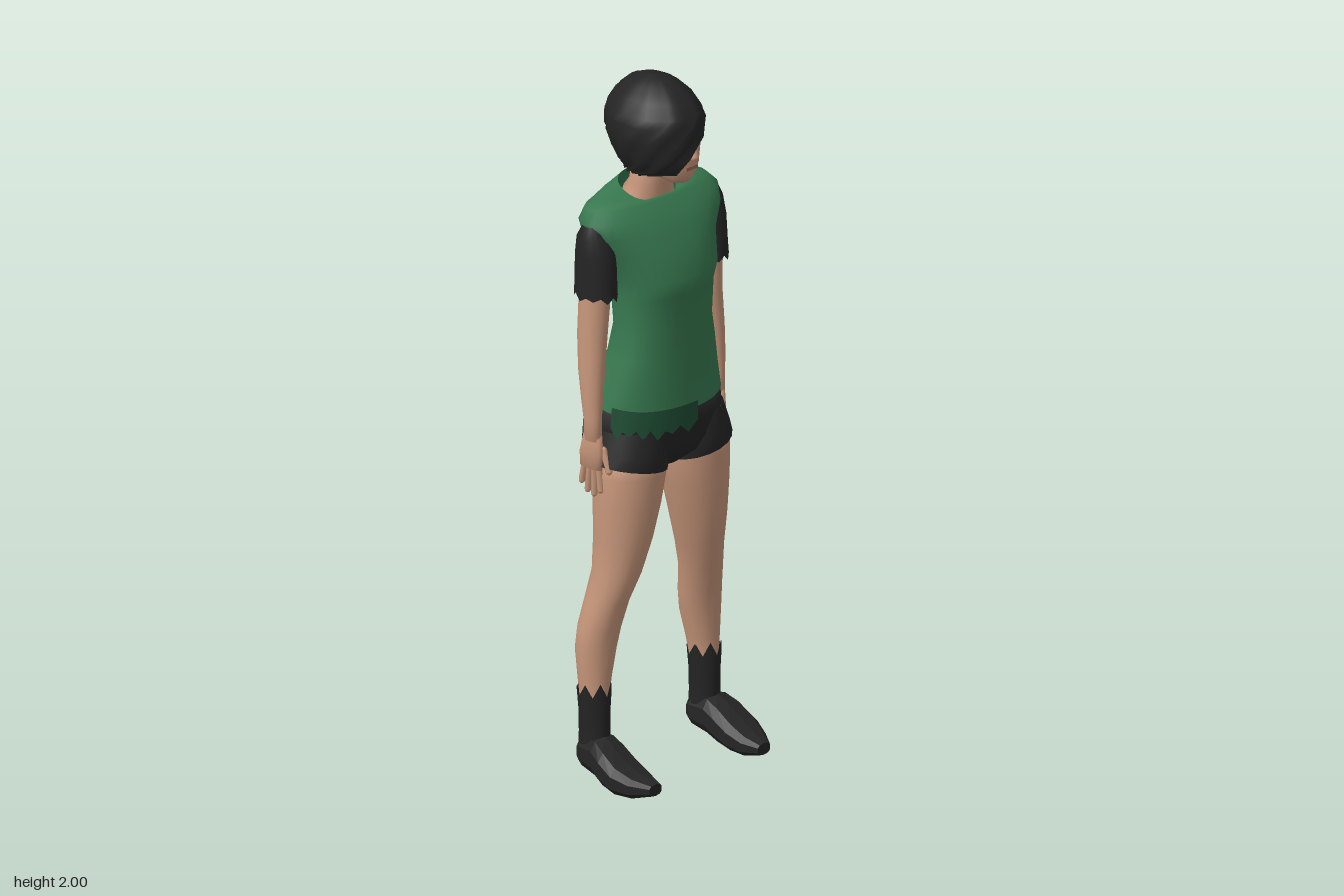
import * as THREE from 'three';

function makeMaterial(name, color, side = THREE.FrontSide) {
  const material = new THREE.MeshStandardMaterial({ color, side });
  material.name = name;
  return material;
}
const skin = makeMaterial('skin', 0xc8977b);
const green = makeMaterial('shirt green', 0x37784f, THREE.DoubleSide);
const darkGreen = makeMaterial('dark green', 0x1f4d34, THREE.DoubleSide);
const black = makeMaterial('black cloth', 0x242424, THREE.DoubleSide);
const lips = makeMaterial('lips', 0xa06a58);
const shoeBlack = makeMaterial('shoe black', 0x252525);
shoeBlack.flatShading = true;

const rad = THREE.MathUtils.degToRad;

// Skin a surface over a grid of points; rows run upward, columns counterclockwise.
function skinRows(rows, closed, caps) {
  const n = rows[0].length;
  const pos = rows.flat(2);
  const idx = [];
  const cols = closed ? n : n - 1;
  for (let i = 0; i < rows.length - 1; i++) {
    for (let j = 0; j < cols; j++) {
      const a = i * n + j;
      const b = i * n + (j + 1) % n;
      idx.push(a, b, b + n, a, b + n, a + n);
    }
  }
  if (caps) {
    for (const r of [0, rows.length - 1]) {
      const c = pos.length / 3;
      for (let k = 0; k < 3; k++) {
        let sum = 0;
        for (const p of rows[r]) sum += p[k];
        pos.push(sum / n);
      }
      for (let j = 0; j < n; j++) {
        const a = r * n + j;
        const b = r * n + (j + 1) % n;
        if (r > 0) idx.push(a, b, c);
        else idx.push(b, a, c);
      }
    }
  }
  const g = new THREE.BufferGeometry();
  g.setAttribute('position', new THREE.Float32BufferAttribute(pos, 3));
  g.setIndex(idx);
  g.computeVertexNormals();
  return g;
}

// One oval ring point; ring = [y, cx, cz, rx, rz, tiltZ, tiltX], angle 0 faces +z.
function ovalPoint(ring, angle, power) {
  const [y, cx, cz, rx, rz, tz = 0, tx = 0] = ring;
  const bulge = (v) => Math.sign(v) * Math.pow(Math.abs(v), 2 / power);
  const x = rx * bulge(Math.sin(angle));
  const z = rz * bulge(Math.cos(angle));
  return [cx + x, y + tz * z + tx * x, cz + z];
}

// Loft through oval rings; a negative jag frays the bottom edge, a positive one the top.
function loft(rings, options = {}) {
  const { sides = 20, power = 2, caps = true, start = 0, end = 360, jag = 0 } = options;
  const closed = end - start === 360;
  const n = closed ? sides : sides + 1;
  const frayed = jag < 0 ? 0 : rings.length - 1;
  const rows = [];
  for (let i = 0; i < rings.length; i++) {
    const row = [];
    for (let j = 0; j < n; j++) {
      const p = ovalPoint(rings[i], rad(start + (end - start) * j / sides), power);
      if (i === frayed) p[1] += jag * [0, 1, 0.2, 0.6, 0, 0.9][j % 6];
      row.push(p);
    }
    rows.push(row);
  }
  return skinRows(rows, closed, caps && closed);
}

// Bobbed hair: each ring ends with [face opening edge, fringe edge] in degrees
function hairGeometry() {
  const rings = [
    [1.73, -0.005, -0.02, 0.082, 0.088, 0.1, 82, -62], [1.757, -0.007, -0.002, 0.098, 0.13, 0, 80, -30],
    [1.8, -0.01, -0.008, 0.114, 0.14, 0, 76, -7], [1.85, -0.012, -0.015, 0.127, 0.149, 0, 70, 20],
    [1.89, -0.011, -0.018, 0.124, 0.149, 0, 64, 43], [1.915, -0.01, -0.02, 0.114, 0.142, 0, 58, 58],
    [1.95, -0.007, -0.024, 0.092, 0.118, 0, 58, 58], [1.98, -0.005, -0.028, 0.06, 0.08, 0, 58, 58],
    [1.995, -0.004, -0.03, 0.03, 0.04, 0, 58, 58], [2, -0.004, -0.03, 0.001, 0.001, 0, 58, 58],
  ];
  const rows = [];
  for (const [y, cx, cz, rx, rz, tilt, open, fringe] of rings) {
    const row = [];
    for (let j = 0; j <= 36; j++) {
      const lock = j % 4 === 2 ? 0.965 : 1;
      const angle = rad(open + (fringe + 360 - open) * j / 36);
      const p = ovalPoint([y, cx, cz, rx * lock, rz * lock, tilt], angle, 2);
      if (rows.length === 0) p[1] += (j % 3) * 0.006;
      row.push(p);
    }
    rows.push(row);
  }
  return skinRows(rows, false, false);
}

export function createModel() {
  const model = new THREE.Group();
  model.name = 'woman';
  function add(name, geometry, material, parent = model) {
    const mesh = new THREE.Mesh(geometry, material);
    mesh.name = name;
    parent.add(mesh);
    return mesh;
  }

  // Shirt
  add('shirt', loft([
    [1.08, 0, -0.04, 0.205, 0.145, -0.14], [1.15, 0, -0.025, 0.186, 0.125],
    [1.22, 0, -0.005, 0.166, 0.107], [1.3, 0, 0, 0.15, 0.1],
    [1.4, 0, -0.002, 0.152, 0.11], [1.45, 0, 0, 0.16, 0.12],
    [1.53, 0, -0.03, 0.19, 0.117], [1.58, 0, -0.043, 0.23, 0.108],
    [1.62, 0, -0.055, 0.24, 0.094], [1.65, 0, -0.065, 0.212, 0.077],
    [1.667, 0, -0.064, 0.145, 0.07, -0.15], [1.672, 0, -0.06, 0.085, 0.064, -0.4],
  ], { sides: 28, power: 2.3, caps: false }), green);

  // Ragged dark patches along the shirt hem
  for (const [start, end] of [[-75, 5], [120, 215]]) {
    add('hemPatch', loft([
      [1.045, 0, -0.035, 0.214, 0.145, -0.14], [1.1, 0, -0.036, 0.207, 0.146, -0.14],
    ], { sides: 12, power: 2.3, start, end, jag: -0.03 }), darkGreen);
  }

  // Shorts body
  add('shorts', loft([
    [0.885, 0, -0.02, 0.05, 0.06], [0.92, 0, -0.02, 0.15, 0.1],
    [0.96, 0, -0.03, 0.2, 0.125], [1.02, 0, -0.037, 0.208, 0.139],
    [1.1, 0, -0.036, 0.198, 0.138, -0.14],
  ], { sides: 24, power: 2.3 }), black);

  // Neck and head
  add('neck', loft([
    [1.6, 0, -0.06, 0.1, 0.06], [1.655, 0, -0.055, 0.08, 0.057, -0.3],
    [1.69, 0, -0.047, 0.06, 0.055], [1.8, 0, -0.03, 0.055, 0.055],
  ]), skin);
  add('head', loft([
    [1.716, 0, 0.055, 0.028, 0.035], [1.735, 0, 0.042, 0.052, 0.062],
    [1.77, 0, 0.024, 0.071, 0.09], [1.82, 0, 0.01, 0.084, 0.106],
    [1.88, 0, 0, 0.088, 0.11], [1.94, 0, -0.01, 0.07, 0.09],
  ], { sides: 24 }), skin);
  add('nose', loft([
    [1.79, 0, 0.114, 0.016, 0.02], [1.802, 0, 0.116, 0.013, 0.019], [1.85, 0, 0.11, 0.006, 0.008],
  ], { sides: 8 }), skin);
  const mouth = add('mouth', new THREE.BoxGeometry(0.042, 0.01, 0.008), lips);
  mouth.position.set(0, 1.764, 0.109);
  add('hair', hairGeometry(), black);

  for (const s of [-1, 1]) {
    const side = s > 0 ? 'left' : 'right';

    // Eye, eyebrow and ear
    const eye = add('eye', new THREE.BoxGeometry(0.026, 0.009, 0.008), black);
    eye.position.set(s * 0.038, 1.84, 0.102);
    eye.rotation.y = s * 0.4;
    const brow = add('eyebrow', new THREE.BoxGeometry(0.036, 0.005, 0.008), black);
    brow.position.set(s * 0.038, 1.862, 0.102);
    brow.rotation.set(0, s * 0.4, s * 0.12);
    const ear = add('ear', new THREE.SphereGeometry(0.02, 8, 6), skin);
    ear.scale.set(0.5, 1.2, 0.8);
    ear.position.set(s * 0.085, 1.82, -0.01);

    // Loft a limb part, mirroring ring centres and sideways tilt
    function limb(rings, options) {
      return loft(rings.map(([y, cx, cz, rx, rz, tz = 0, tx = 0]) => [y, s * cx, cz, rx, rz, tz, s * tx]), options);
    }

    // Arm
    const arm = new THREE.Group();
    arm.name = side + 'Arm';
    model.add(arm);
    add('sleeve', limb([
      [1.42, 0.21, -0.043, 0.05, 0.067], [1.46, 0.209, -0.044, 0.05, 0.064],
      [1.53, 0.208, -0.046, 0.051, 0.06], [1.58, 0.208, -0.049, 0.048, 0.05],
      [1.615, 0.21, -0.05, 0.032, 0.03],
    ], { caps: false, jag: -0.018, sides: 18 }), black, arm);
    add('forearm', limb([
      [1.0, 0.232, -0.032, 0.02, 0.03], [1.06, 0.233, -0.032, 0.022, 0.028],
      [1.12, 0.231, -0.036, 0.027, 0.034], [1.2, 0.226, -0.043, 0.033, 0.041],
      [1.3, 0.217, -0.049, 0.038, 0.046], [1.4, 0.212, -0.046, 0.04, 0.048],
      [1.52, 0.208, -0.046, 0.042, 0.05],
    ], { sides: 14 }), skin, arm);
    add('palm', limb([
      [0.915, 0.229, -0.042, 0.013, 0.042], [0.96, 0.232, -0.037, 0.018, 0.042],
      [1.02, 0.232, -0.032, 0.02, 0.029],
    ], { sides: 12 }), skin, arm);
    [0.06, 0.075, 0.07, 0.05].forEach((length, i) => {
      const finger = add('finger', new THREE.CapsuleGeometry(0.009, length, 3, 6), skin, arm);
      finger.position.set(s * 0.226, 0.915 - length / 2, -0.012 - i * 0.021);
      finger.rotation.x = -0.1 + i * 0.1;
    });
    const thumb = add('thumb', new THREE.CapsuleGeometry(0.01, 0.06, 3, 6), skin, arm);
    thumb.position.set(s * 0.222, 0.945, 0.009);
    thumb.rotation.x = -0.35;

    // Leg
    const leg = new THREE.Group();
    leg.name = side + 'Leg';
    model.add(leg);
    add('shortsLeg', limb([
      [0.905, 0.122, -0.012, 0.112, 0.108, 0, 0.2], [0.95, 0.117, -0.025, 0.108, 0.125, 0, 0.1],
      [1.02, 0.11, -0.035, 0.1, 0.12],
    ], { caps: false }), black, leg);
    add('bareLeg', limb([
      [0.1, 0.207, -0.05, 0.034, 0.04], [0.24, 0.207, -0.052, 0.037, 0.043],
      [0.3, 0.204, -0.054, 0.046, 0.048], [0.38, 0.197, -0.056, 0.059, 0.055],
      [0.44, 0.19, -0.05, 0.062, 0.058], [0.52, 0.177, -0.034, 0.06, 0.062],
      [0.6, 0.156, -0.018, 0.064, 0.071], [0.7, 0.141, -0.009, 0.079, 0.083],
      [0.8, 0.129, -0.006, 0.095, 0.092], [0.89, 0.119, -0.006, 0.105, 0.098],
      [0.97, 0.115, -0.01, 0.1, 0.1],
    ]), skin, leg);
    add('bootShaft', limb([
      [0.08, 0.208, -0.05, 0.042, 0.046], [0.14, 0.208, -0.05, 0.04, 0.046],
      [0.2, 0.208, -0.05, 0.041, 0.046], [0.25, 0.208, -0.052, 0.046, 0.05],
    ], { caps: false, jag: 0.04, sides: 14 }), black, leg);

    // Shoe, lofted heel to toe and then laid along z
    const shoe = limb([
      [-0.093, 0.207, -0.075, 0.028, 0.03], [-0.07, 0.208, -0.08, 0.044, 0.046],
      [-0.01, 0.212, -0.08, 0.052, 0.057], [0.03, 0.217, -0.064, 0.06, 0.055],
      [0.08, 0.219, -0.044, 0.063, 0.044], [0.13, 0.213, -0.032, 0.05, 0.032],
      [0.18, 0.205, -0.032, 0.024, 0.017],
    ], { sides: 10, power: 2.6 });
    shoe.rotateX(Math.PI / 2);
    add('shoe', shoe, shoeBlack, leg);
  }
  return model;
}
